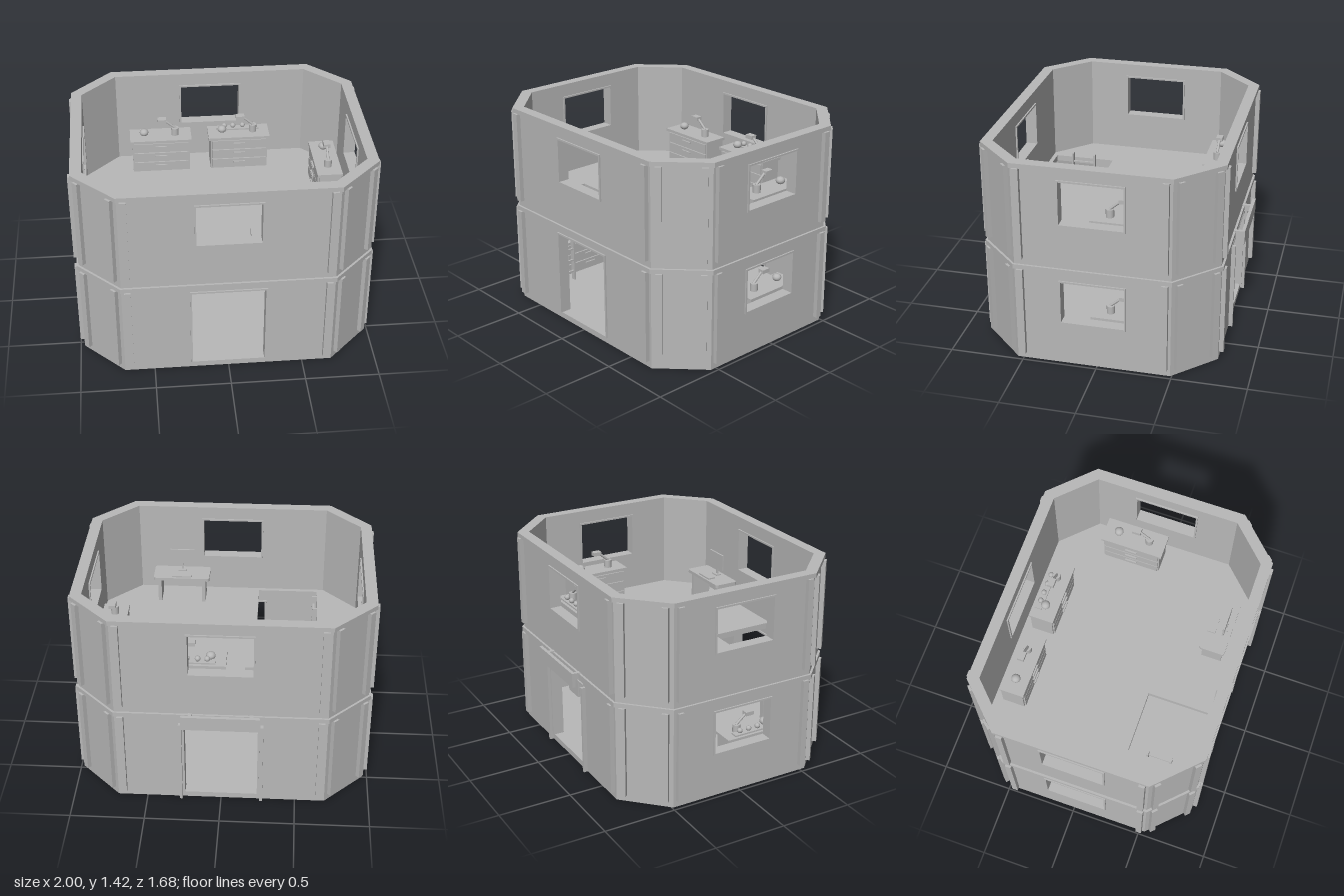
import * as THREE from 'three';

const FLOORS = [0.04, 0.75];      // floor surface heights
const ZC = 0.025;                 // centre of the building in z
const WALL = 0.06;

const grey = new THREE.MeshStandardMaterial({ color: 0xb8b8b8 });
grey.name = 'plain grey';

function add(parent, geometry, name, x = 0, y = 0, z = 0) {
  const m = new THREE.Mesh(geometry, grey);
  m.name = name;
  m.position.set(x, y, z);
  parent.add(m);
  return m;
}
const box = (parent, name, w, h, d, x, y, z) => add(parent, new THREE.BoxGeometry(w, h, d), name, x, y, z);
const named = (parent, name) => {
  const g = new THREE.Group();
  g.name = name;
  parent.add(g);
  return g;
};
const pts = (list) => list.map(([x, y]) => new THREE.Vector2(x, y));
const rect = (x0, y0, x1, y1) => pts([[x0, y0], [x1, y0], [x1, y1], [x0, y1]]);
const extrude = (shape, depth) => new THREE.ExtrudeGeometry(shape, { depth, bevelEnabled: false, curveSegments: 5 });

// Chamfered rectangle grown by an offset; (x, z) corners in order round the plan
function octagon(offset) {
  const t = offset * Math.tan(Math.PI / 8);
  const X = 0.97 + offset, Z = 0.785 + offset, x = 0.70 + t, z = 0.515 + t;
  return [[x, Z], [X, z], [X, -z], [x, -Z], [-x, -Z], [-X, -z], [-X, z], [-x, Z]];
}

// Horizontal slab from a plan, with an optional hole
function slab(parent, name, outline, hole, y, height) {
  const shape = new THREE.Shape(pts(outline.map(([x, z]) => [x, -z])));
  if (hole) shape.holes.push(new THREE.Path(pts(hole.map(([x, z]) => [x, -z]))));
  const g = extrude(shape, height);
  g.rotateX(-Math.PI / 2);
  add(parent, g, name, 0, y, 0);
}

function windowFrame(parent, y0, y1, w) {
  const s = new THREE.Shape(rect(-w, y0, w, y1));
  s.holes.push(new THREE.Path(rect(-w + 0.012, y0 + 0.012, w - 0.012, y1 - 0.012)));
  add(parent, extrude(s, WALL + 0.02), 'windowFrame', 0, 0, -WALL - 0.01);
}

function doorFrame(parent, y0, y1, w) {
  const t = 0.012;
  const s = new THREE.Shape(pts([[-w, y0], [-w + t, y0], [-w + t, y1 - t], [w - t, y1 - t],
    [w - t, y0], [w, y0], [w, y1], [-w, y1]]));
  add(parent, extrude(s, WALL + 0.02), 'doorFrame', 0, 0, -WALL - 0.01);
}

// One storey: eight wall panels with openings and paired edge strips
function storey(parent, level) {
  const base = FLOORS[level], top = base + 0.64;
  const ring = octagon(0);
  ring.forEach(([x0, z0], i) => {
    const [x1, z1] = ring[(i + 1) % 8];
    const half = Math.hypot(x1 - x0, z1 - z0) / 2;
    const side = named(parent, 'wallSide');
    side.position.set((x0 + x1) / 2, 0, (z0 + z1) / 2);
    side.rotation.y = Math.atan2(z0 - z1, x1 - x0);

    const flat = i % 2 === 1;                 // chamfers have no openings
    const isDoor = flat && level === 0 && (i === 3 || i === 7);
    let shape;
    if (isDoor) {
      const w = 0.255, h = 0.645;
      shape = new THREE.Shape(pts([[-half, base], [-w, base], [-w, h], [w, h], [w, base],
        [half, base], [half, top], [-half, top]]));
      doorFrame(side, base, h, w);
    } else {
      shape = new THREE.Shape(rect(-half, base, half, top));
      if (flat) {
        const y0 = base + 0.26, y1 = base + 0.578, w = 0.222;
        shape.holes.push(new THREE.Path(rect(-w, y0, w, y1)));
        windowFrame(side, y0, y1, w);
      }
    }
    add(side, extrude(shape, WALL), 'wallPanel', 0, 0, -WALL);
    for (const s of [-1, 1]) {
      box(side, 'edgeStrip', 0.042, 0.632, 0.04, s * (half - (flat ? 0.04 : 0.05)), base + 0.322, 0.01);
    }
  });
  slab(parent, 'topBand', octagon(0.015), octagon(-WALL), base + 0.636, 0.032);
}

function lamp(parent, x, y) {
  const g = named(parent, 'lamp');
  g.position.set(x, y, 0);
  add(g, new THREE.CylinderGeometry(0.027, 0.027, 0.055, 14), 'lampBase', 0, 0.0275, 0);
  const arm = add(g, new THREE.CylinderGeometry(0.009, 0.009, 0.105, 8), 'lampArm', -0.035, 0.085, 0);
  arm.rotation.z = 0.86;
  box(g, 'lampHead', 0.06, 0.027, 0.045, -0.092, 0.119, 0);
}

// Chest of drawers facing +z, origin on the floor
function dresser(parent, x, y, z, turn, withTray) {
  const g = named(parent, 'dresser');
  g.position.set(x, y, z);
  g.rotation.y = turn;
  box(g, 'dresserBody', 0.41, 0.24, 0.155, 0, 0.12, -0.005);
  box(g, 'dresserTop', 0.44, 0.02, 0.175, 0, 0.25, 0);
  for (let i = 0; i < 3; i++) {
    const dy = 0.045 + i * 0.077;
    box(g, 'drawerFront', 0.39, 0.068, 0.012, 0, dy, 0.077);
    box(g, 'drawerHandle', 0.085, 0.01, 0.014, 0, dy + 0.01, 0.087);
  }
  lamp(g, 0.105, 0.26);
  const ball = add(g, new THREE.IcosahedronGeometry(0.032, 1), 'ornament', -0.118, 0.285, 0);
  ball.scale.y = 0.85;
  if (withTray) {
    box(g, 'tray', 0.305, 0.01, 0.05, 0, 0.265, -0.043);
    for (const bx of [-0.097, -0.035, 0.035, 0.105]) {
      add(g, new THREE.IcosahedronGeometry(0.019, 1), 'smallOrnament', bx, 0.287, -0.043);
    }
  }
}

function desk(parent) {
  const g = named(parent, 'desk');
  g.position.set(0.362, FLOORS[1], 0.612);
  const w = 0.2025, d = 0.0875, r = 0.018;
  const s = new THREE.Shape();
  s.absarc(w - r, d - r, r, 0, Math.PI / 2);
  s.absarc(-w + r, d - r, r, Math.PI / 2, Math.PI);
  s.absarc(-w + r, -d + r, r, Math.PI, Math.PI * 1.5);
  s.absarc(w - r, -d + r, r, Math.PI * 1.5, Math.PI * 2);
  const top = extrude(s, 0.022);
  top.rotateX(-Math.PI / 2);
  add(g, top, 'deskTop', 0, 0.18, 0);
  for (const k of [-1, 1]) box(g, 'deskLeg', 0.025, 0.18, 0.14, k * 0.16, 0.09, 0);
  box(g, 'deskBackPanel', 0.3, 0.07, 0.012, 0, 0.145, 0.055);
  box(g, 'keyboard', 0.14, 0.01, 0.055, 0, 0.207, -0.045);
  box(g, 'monitorFoot', 0.06, 0.008, 0.04, 0, 0.206, 0.04);
  box(g, 'monitorStand', 0.015, 0.07, 0.01, 0, 0.24, 0.045);
  box(g, 'monitorScreen', 0.175, 0.115, 0.012, 0, 0.315, 0.038);
}

function ladder(parent) {
  const g = named(parent, 'ladder');
  for (const z of [0.425, 0.59]) box(g, 'ladderRail', 0.035, 0.75, 0.012, -0.612, FLOORS[0] + 0.375, z);
  for (let i = 0; i < 8; i++) {
    box(g, 'ladderRung', 0.014, 0.012, 0.16, -0.605, FLOORS[0] + 0.07 + i * 0.088, 0.5075);
  }
}

export function createModel() {
  const root = new THREE.Group();
  root.name = 'house';

  // Shell
  const shell = named(root, 'shell');
  shell.position.z = ZC;
  slab(shell, 'groundFloor', octagon(0), null, 0, FLOORS[0]);
  const hatch = [[-0.63, 0.29 - ZC], [-0.2, 0.29 - ZC], [-0.2, 0.72 - ZC], [-0.63, 0.72 - ZC]];
  slab(shell, 'upperFloor', octagon(0), hatch, 0.708, FLOORS[1] - 0.708);
  storey(shell, 0);
  storey(shell, 1);

  // Back door trim and the board above it
  const back = named(root, 'backEntrance');
  for (const s of [-1, 1]) {
    box(back, 'doorTrim', 0.02, 0.63, 0.03, s * 0.27, 0.315, -0.773);
    box(back, 'boardBracket', 0.025, 0.045, 0.07, s * 0.2, 0.69, -0.79);
  }
  box(back, 'board', 0.515, 0.1, 0.022, 0, 0.688, -0.832);

  // Furniture
  dresser(root, -0.37, FLOORS[1], -0.557, 0, false);
  dresser(root, 0.193, FLOORS[1], -0.557, 0, true);
  dresser(root, 0.767, FLOORS[1], -0.15, -Math.PI / 2, false);
  dresser(root, 0.767, FLOORS[0], -0.15, -Math.PI / 2, false);
  dresser(root, -0.767, FLOORS[0], 0.217, Math.PI / 2, true);
  desk(root);
  ladder(root);
  return root;
}
